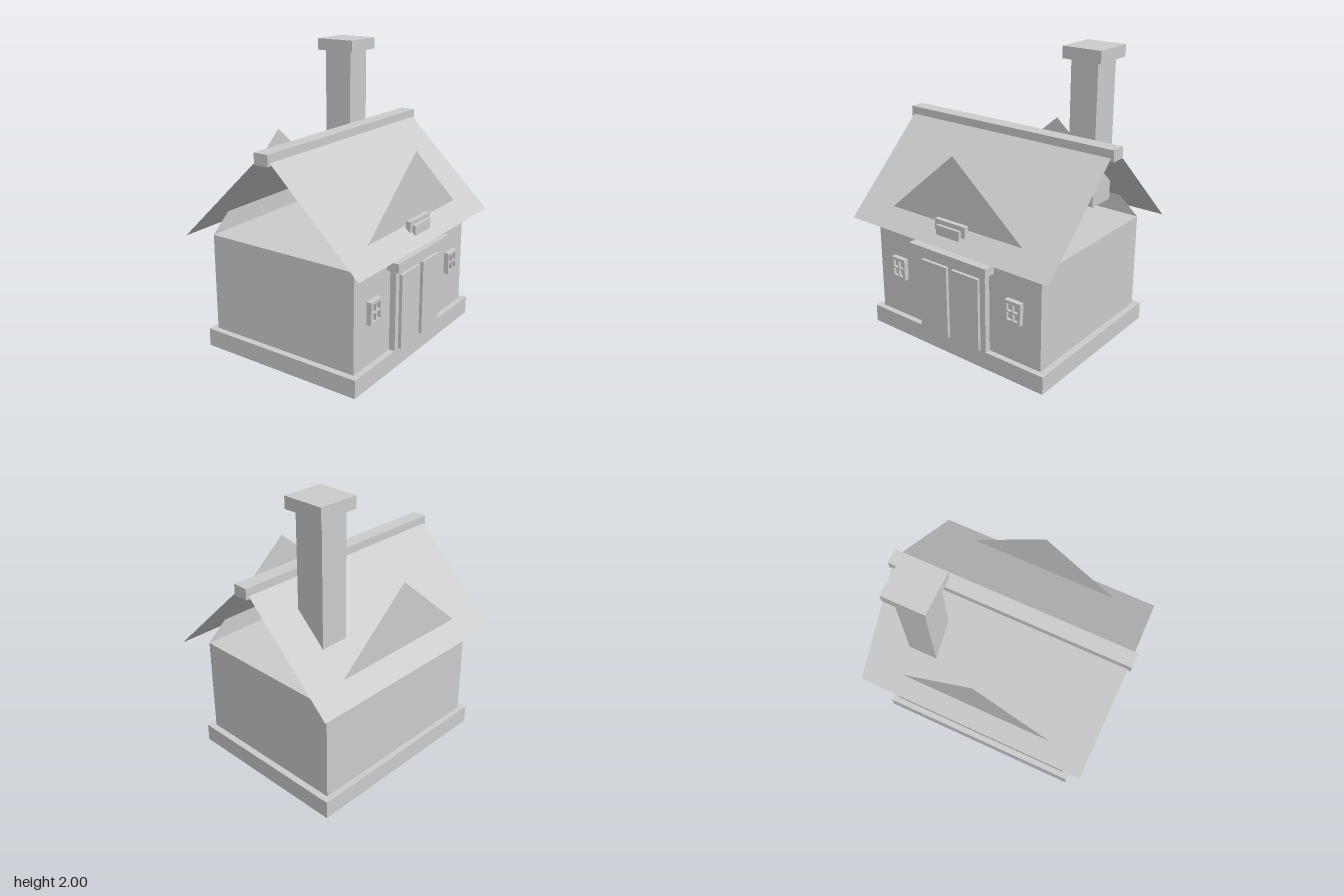
import * as THREE from 'three';

export function createModel() {
  const house = new THREE.Group();
  house.name = 'house';
  const plaster = new THREE.MeshStandardMaterial({ color: 0xcccccc });
  plaster.name = 'plainGrey';
  const sheet = new THREE.MeshStandardMaterial({ color: 0xcccccc, side: THREE.DoubleSide });
  sheet.name = 'plainGreySheet';

  const add = (name, geometry, material = plaster) => {
    const mesh = new THREE.Mesh(geometry, material);
    mesh.name = name;
    house.add(mesh);
    return mesh;
  };
  // Box given by its lower and upper limits on each axis
  const box = (name, x0, x1, y0, y1, z0, z1) =>
    add(name, new THREE.BoxGeometry(x1 - x0, y1 - y0, z1 - z0))
      .position.set((x0 + x1) / 2, (y0 + y1) / 2, (z0 + z1) / 2);

  // Plinth and walls
  box('plinth', -0.735, 0.735, 0, 0.125, -0.6, 0.6);
  box('walls', -0.69, 0.69, 0.125, 0.8, -0.56, 0.56);

  // Thin gables on the front and back walls, poking through the roof
  const gable = new THREE.Shape([
    new THREE.Vector2(-0.69, 0.8), new THREE.Vector2(0.69, 0.8), new THREE.Vector2(0, 1.39),
  ]);
  for (const side of [1, -1]) {
    const mesh = add(side > 0 ? 'frontGable' : 'backGable', new THREE.ShapeGeometry(gable), sheet);
    mesh.position.z = side * 0.56;
    if (side < 0) mesh.rotation.y = Math.PI;
  }

  // Two roof sheets sloping from the ridge to the eaves
  const ridgeY = 1.46, eaveY = 0.81, eaveZ = 0.68;
  const slope = Math.hypot(eaveZ, ridgeY - eaveY);
  for (const side of [1, -1]) {
    const mesh = add(side > 0 ? 'frontRoof' : 'backRoof', new THREE.PlaneGeometry(1.64, slope), sheet);
    mesh.rotation.order = 'YXZ';
    mesh.rotation.set(-Math.atan2(eaveZ, ridgeY - eaveY), side > 0 ? 0 : Math.PI, 0);
    mesh.position.set(0, (ridgeY + eaveY) / 2, side * eaveZ / 2);
  }
  box('ridgeBeam', -0.84, 0.84, 1.39, 1.465, -0.052, 0.052);

  // Chimney
  box('chimneyStack', 0.355, 0.555, 0.95, 1.92, -0.4, -0.19);
  box('chimneyCap', 0.315, 0.6, 1.92, 2, -0.44, -0.148);
  box('atticBlock', -0.47, -0.43, 0.78, 0.82, 0.265, 0.305);

  // Entrance
  box('doorFrame', -0.285, 0.285, 0.125, 0.69, 0.56, 0.603);
  box('doorLintel', -0.325, 0.325, 0.69, 0.75, 0.56, 0.645);
  box('rightDoor', -0.243, -0.022, 0.13, 0.645, 0.6, 0.625);
  box('leftDoor', 0.022, 0.243, 0.13, 0.645, 0.6, 0.625);

  // Blank board above the entrance
  box('signBoard', -0.125, 0.125, 0.795, 0.96, 0.57, 0.603);
  box('signPanel', -0.095, 0.095, 0.83, 0.93, 0.603, 0.625);

  // Windows: a frame with four openings over a set-back pane
  const frame = new THREE.Shape([[-0.06, -0.076], [0.06, -0.076], [0.06, 0.076], [-0.06, 0.076]]
    .map(([x, y]) => new THREE.Vector2(x, y)));
  for (const x of [-0.024, 0.024]) {
    for (const y of [-0.031, 0.031]) {
      frame.holes.push(new THREE.Path([[-1, -1], [-1, 1], [1, 1], [1, -1]]
        .map(([sx, sy]) => new THREE.Vector2(x + sx * 0.019, y + sy * 0.026))));
    }
  }
  const frameGeometry = new THREE.ExtrudeGeometry(frame, { depth: 0.035, bevelEnabled: false });
  for (const side of [-1, 1]) {
    const label = side > 0 ? 'left' : 'right';
    const x = side * 0.494;
    add(label + 'WindowFrame', frameGeometry).position.set(x, 0.487, 0.56);
    box(label + 'WindowPane', x - 0.055, x + 0.055, 0.415, 0.559, 0.56, 0.575);
  }
  return house;
}
